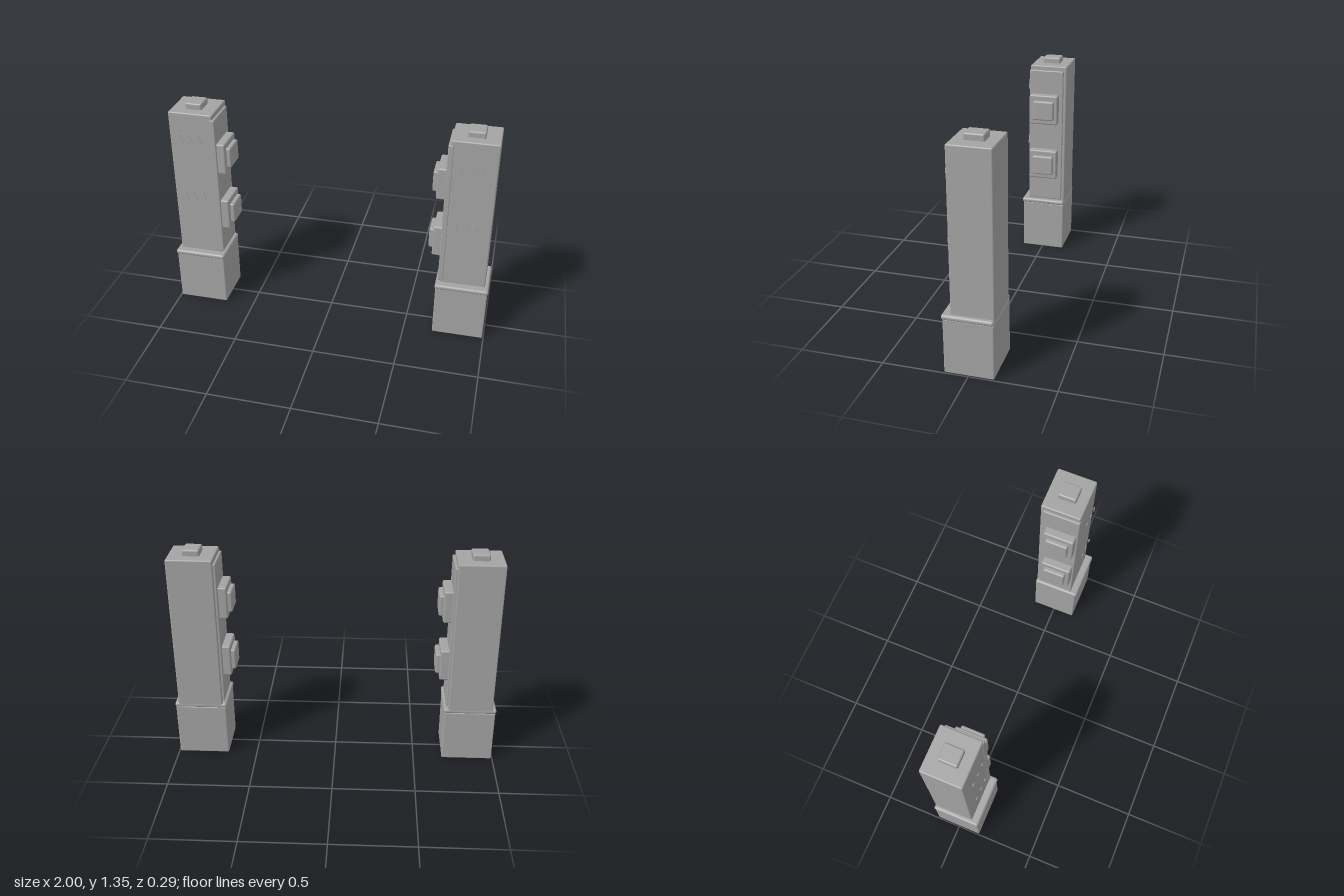
import * as THREE from 'three';
import { RoundedBoxGeometry } from 'three/addons/geometries/RoundedBoxGeometry.js';

const stone = new THREE.MeshStandardMaterial({ color: 0xa3a3a3 });
stone.name = 'grey stone';

// Rounded block given by its min/max extents; side -1 mirrors it in x
function block(name, side, [x0, x1], [y0, y1], [z0, z1], radius) {
  const mesh = new THREE.Mesh(
    new RoundedBoxGeometry(x1 - x0, y1 - y0, z1 - z0, 3, radius), stone);
  mesh.position.set(side * (x0 + x1) / 2, (y0 + y1) / 2, (z0 + z1) / 2);
  mesh.name = name;
  return mesh;
}

// Thin slanted plate floating just ahead of the column front
function slashGeometry() {
  const shape = new THREE.Shape([
    new THREE.Vector2(-0.019, 0.03), new THREE.Vector2(-0.001, 0.03),
    new THREE.Vector2(0.019, -0.03), new THREE.Vector2(0.001, -0.03),
  ].reverse());
  return new THREE.ExtrudeGeometry(shape, { depth: 0.004, bevelEnabled: false });
}

function createPillar(side) {
  const pillar = new THREE.Group();
  pillar.name = side > 0 ? 'leftPillar' : 'rightPillar';

  // Pedestal, moulding, shaft and cap
  pillar.add(
    block('pedestal', side, [0.68, 0.994], [0, 0.335], [-0.146, 0.14], 0.007),
    block('moulding', side, [0.675, 1], [0.33, 0.361], [-0.147, 0.148], 0.014),
    block('shaft', side, [0.702, 0.976], [0.34, 1.315], [-0.146, 0.1], 0.008),
    block('cap', side, [0.787, 0.888], [1.3, 1.352], [-0.079, 0.036], 0.01),
    block('innerPanel', side, [0.688, 0.72], [0.37, 1.285], [-0.126, 0.103], 0.006),
  );

  // Stepped blocks on the inner face
  for (const y of [0.64, 1.027]) {
    pillar.add(
      block('blockBase', side, [0.638, 0.7], [y - 0.1, y + 0.1], [-0.1, 0.092], 0.01),
      block('blockFace', side, [0.612, 0.66], [y - 0.065, y + 0.065], [-0.078, 0.064], 0.01),
    );
  }

  // Two rows of three slanted marks, leaning the same way on both pillars
  const geometry = slashGeometry();
  for (const y of [0.776, 1.164]) {
    for (let i = 0; i < 3; i++) {
      const mark = new THREE.Mesh(geometry, stone);
      mark.position.set(side * 0.834 - 0.008 + (i - 1) * 0.058, y, 0.125);
      mark.name = 'slantedMark';
      pillar.add(mark);
    }
  }
  return pillar;
}

export function createModel() {
  const model = new THREE.Group();
  model.name = 'gatePillars';
  for (const side of [-1, 1]) model.add(createPillar(side));
  return model;
}
